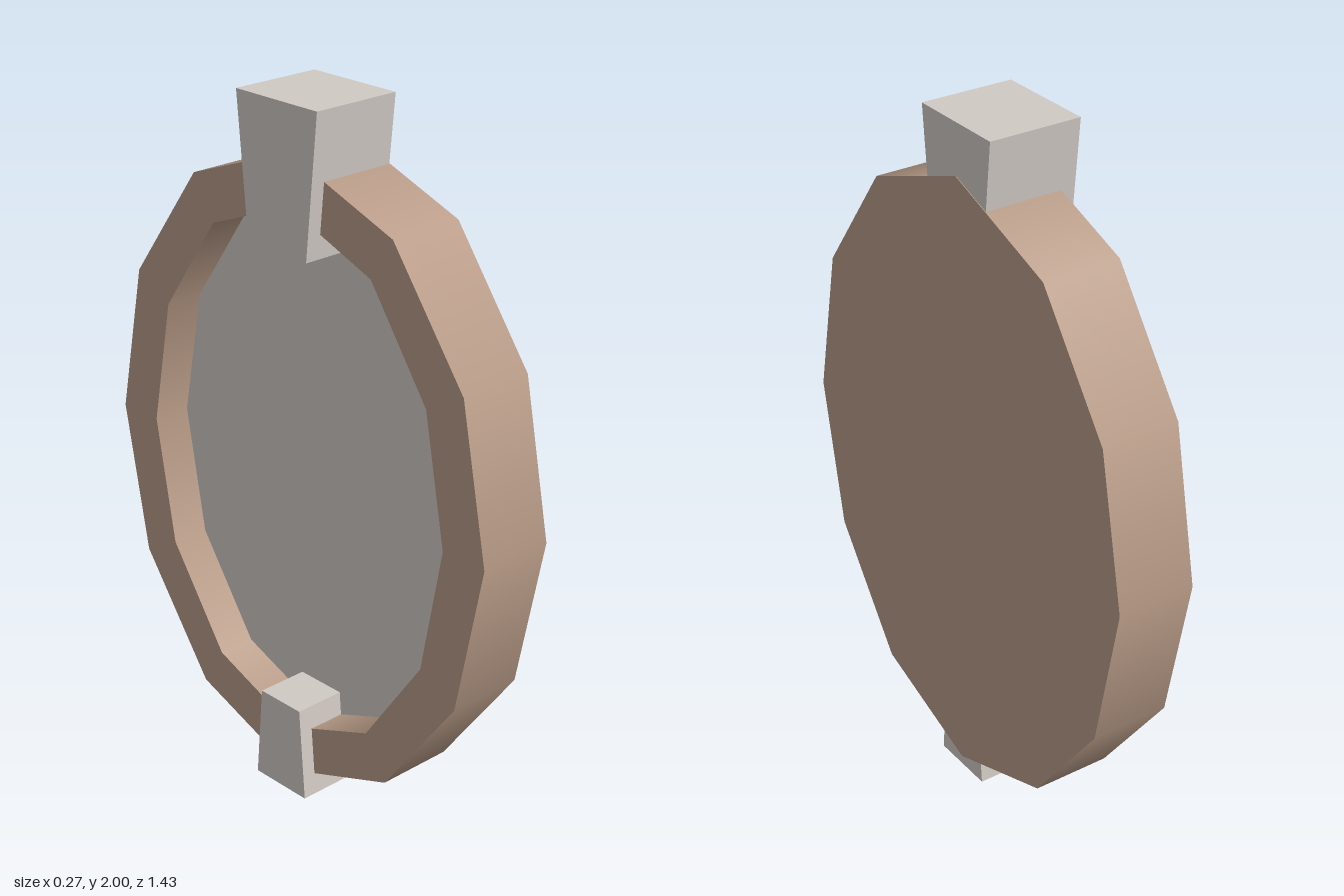
import * as THREE from 'three';

const CENTER_Y = 0.943;
const BACK = -0.095, FLOOR = 0.018, FACE = 0.134; // depths along x
const OUTER = { rz: 0.713, ry: 0.914 };
const INNER = { rz: 0.57, ry: 0.77 };
const CORNERS = [0, 31.8, 61.4, 90, 118.6, 148.2]; // half turn, in degrees

// Corners of a twelve-sided oval, counter-clockwise
function ovalPoints({ rz, ry }) {
  return [...CORNERS, ...CORNERS.map((d) => d + 180)].map((deg) => {
    const a = THREE.MathUtils.degToRad(deg);
    return new THREE.Vector2(-Math.sin(a) * rz, Math.cos(a) * ry);
  });
}

// Flat oval at depth x, facing +x (side 1) or -x (side -1)
function ovalFace(oval, x, side, hole) {
  const shape = new THREE.Shape(ovalPoints(oval));
  if (hole) shape.holes.push(new THREE.Path(ovalPoints(hole)));
  const geo = new THREE.ShapeGeometry(shape);
  geo.rotateY(side * Math.PI / 2);
  geo.translate(x, CENTER_Y, 0);
  return geo;
}

// Smooth band around an oval, facing outward (side 1) or inward (side -1)
function ovalWall(oval, x0, x1, side) {
  const points = ovalPoints(oval);
  const positions = [], normals = [], index = [];
  points.forEach((p, i) => {
    const n = new THREE.Vector3(0, p.y / oval.ry ** 2, p.x / oval.rz ** 2);
    n.normalize().multiplyScalar(side);
    for (const x of [x0, x1]) {
      positions.push(x, p.y + CENTER_Y, p.x);
      normals.push(n.x, n.y, n.z);
    }
    const a = i * 2, b = ((i + 1) % points.length) * 2;
    if (side > 0) index.push(a, a + 1, b, b, a + 1, b + 1);
    else index.push(a, b, a + 1, b, b + 1, a + 1);
  });
  const geo = new THREE.BufferGeometry();
  geo.setAttribute('position', new THREE.Float32BufferAttribute(positions, 3));
  geo.setAttribute('normal', new THREE.Float32BufferAttribute(normals, 3));
  geo.setIndex(index);
  return geo;
}

// Block whose z width changes from bottom to top
function taperedBlock(x0, x1, y0, y1, halfBottom, halfTop) {
  const geo = new THREE.BoxGeometry(x1 - x0, y1 - y0, 2);
  const pos = geo.attributes.position;
  for (let i = 0; i < pos.count; i++) {
    pos.setZ(i, pos.getZ(i) * (pos.getY(i) > 0 ? halfTop : halfBottom));
  }
  geo.translate((x0 + x1) / 2, (y0 + y1) / 2, 0);
  geo.computeVertexNormals();
  return geo;
}

export function createModel() {
  const group = new THREE.Group();
  group.name = 'ovalCase';

  const brown = new THREE.MeshStandardMaterial({ color: 0xb89b87 });
  brown.name = 'brown';
  const grey = new THREE.MeshStandardMaterial({ color: 0xd0c9c3 });
  grey.name = 'grey';

  const add = (name, geo, mat) => {
    const mesh = new THREE.Mesh(geo, mat);
    mesh.name = name;
    group.add(mesh);
  };

  // Case: closed face, outer band, open rim and recess wall
  add('caseFace', ovalFace(OUTER, FACE, 1), brown);
  add('caseBand', ovalWall(OUTER, BACK, FACE, 1), brown);
  add('rim', ovalFace(OUTER, BACK, -1, INNER), brown);
  add('recessWall', ovalWall(INNER, BACK, FLOOR, -1), brown);

  // Panel at the bottom of the recess
  add('recessPanel', ovalFace(INNER, FLOOR, -1), grey);

  // Clamps gripping the rim
  add('topClamp', taperedBlock(-0.137, FACE - 0.002, 1.6, 2, 0.11, 0.15), grey);
  add('bottomClamp', taperedBlock(-0.137, FACE - 0.002, 0, 0.275, 0.1, 0.078), grey);

  return group;
}
